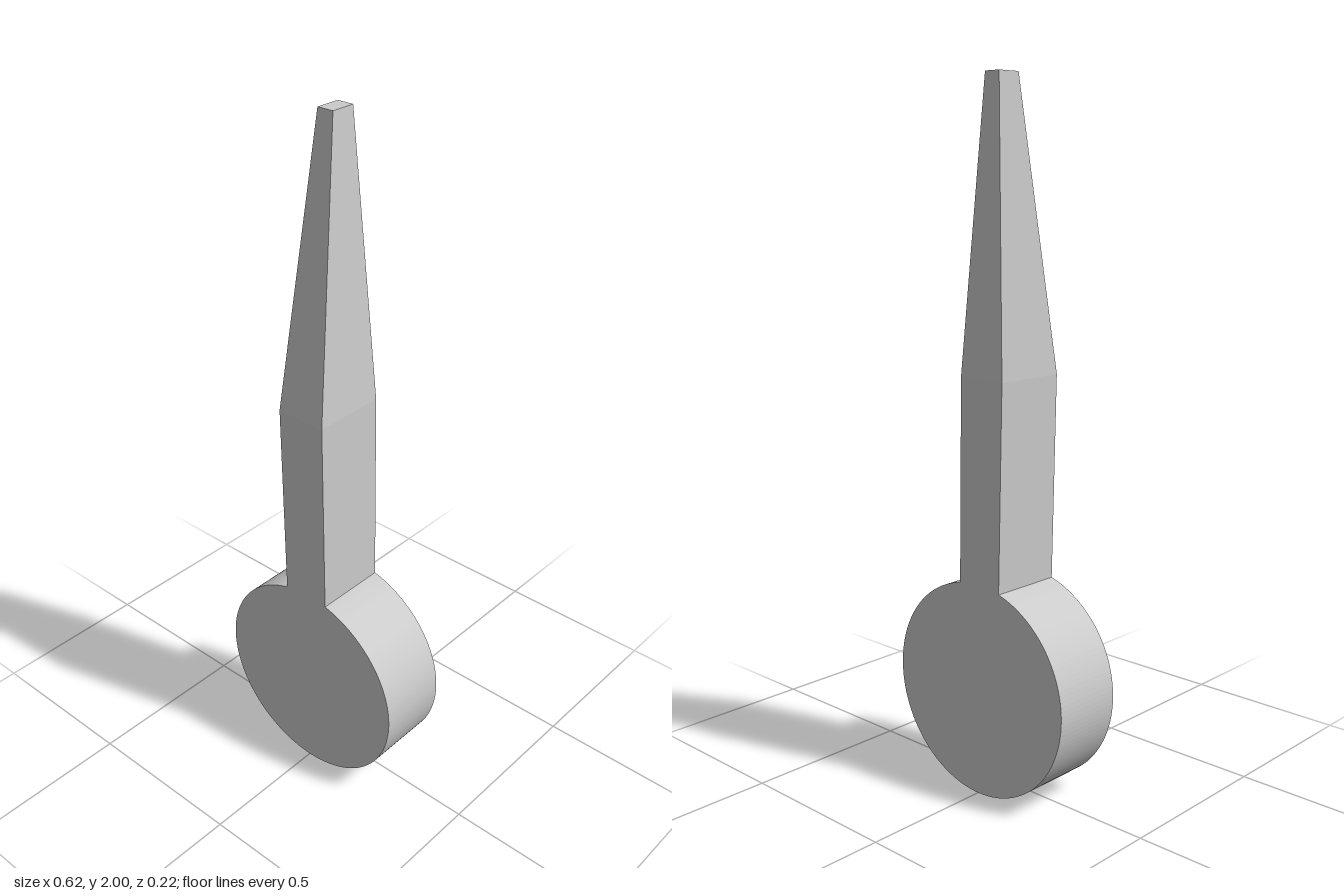
import * as THREE from 'three';

const R = 0.312;      // disc radius, also its centre height
const DEPTH = 0.22;
const BEND = 1.2;     // height where the shaft starts to taper
const TOP = 2;

export function createModel() {
  const model = new THREE.Group();
  const material = new THREE.MeshStandardMaterial({ color: 0xcccccc, flatShading: true });

  // Round disc and straight shaft share one outline, so their faces are flush
  const rightAngle = Math.acos(0.067 / R);
  const leftAngle = Math.acos(-0.082 / R);
  const outline = new THREE.Shape();
  outline.moveTo(-0.095, BEND);
  outline.lineTo(-0.082, R + R * Math.sin(leftAngle));
  outline.absarc(0, R, R, leftAngle, rightAngle + Math.PI * 2, false);
  outline.lineTo(0.058, BEND);
  outline.closePath();
  const bodyGeometry = new THREE.ExtrudeGeometry(outline, {
    depth: DEPTH, bevelEnabled: false, curveSegments: 64,
  });
  bodyGeometry.translate(0, 0, -DEPTH / 2);
  const body = new THREE.Mesh(bodyGeometry, material);
  body.name = 'discAndShaft';
  model.add(body);

  // Off-centre tapered tip: a box whose corners move to two end rectangles
  const lower = { x: [-0.095, 0.058], y: BEND, z: [-DEPTH / 2, DEPTH / 2] };
  const upper = { x: [-0.06, -0.01], y: TOP, z: [-0.083, -0.01] };
  const tipGeometry = new THREE.BoxGeometry(1, 1, 1);
  const p = tipGeometry.attributes.position;
  for (let i = 0; i < p.count; i++) {
    const end = p.getY(i) > 0 ? upper : lower;
    p.setXYZ(i, end.x[p.getX(i) > 0 ? 1 : 0], end.y, end.z[p.getZ(i) > 0 ? 1 : 0]);
  }
  tipGeometry.computeVertexNormals();
  const tip = new THREE.Mesh(tipGeometry, material);
  tip.name = 'taperedTip';
  model.add(tip);

  return model;
}
